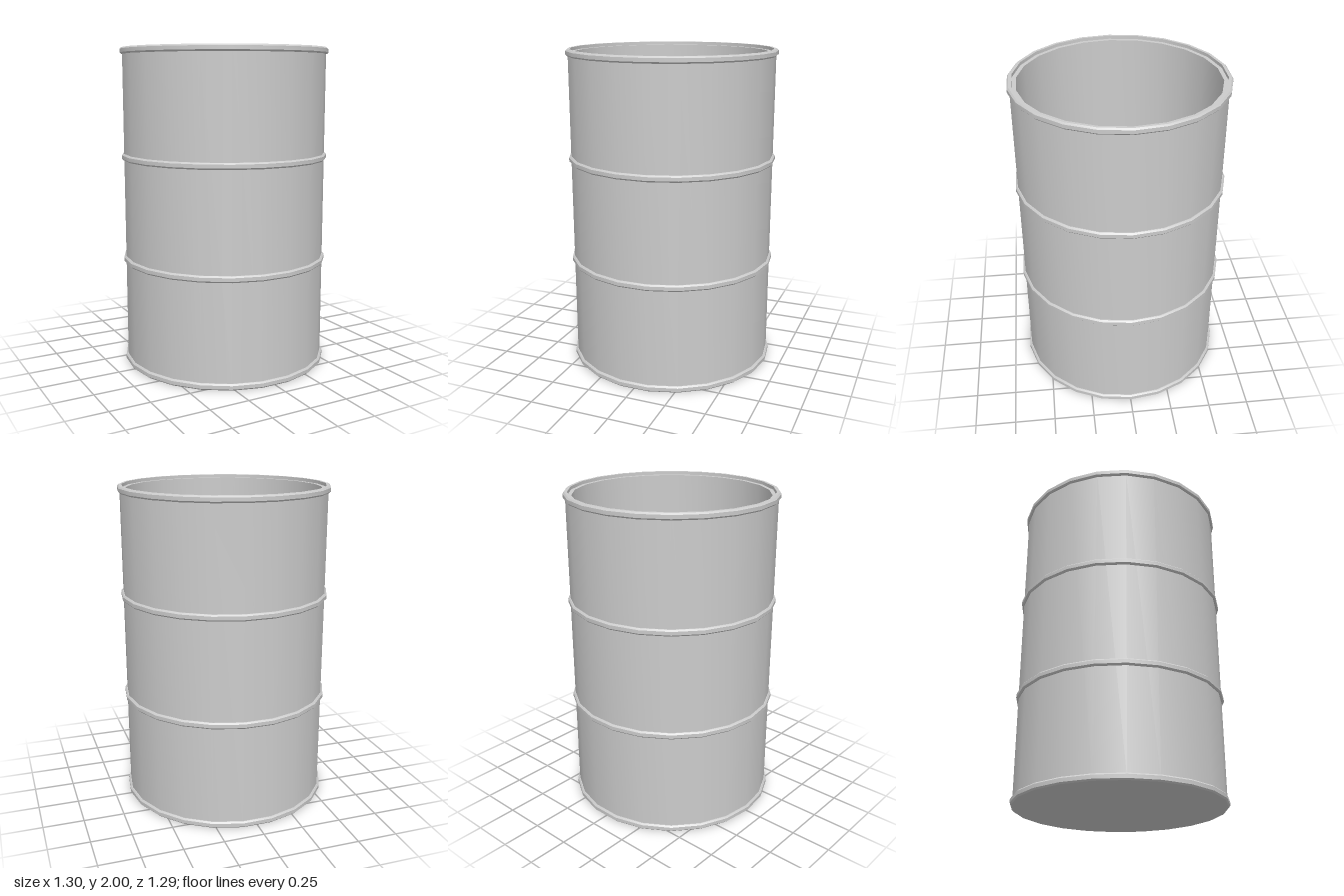
import * as THREE from 'three';
import { toCreasedNormals } from 'three/addons/utils/BufferGeometryUtils.js';

const SIDES = 22;
const material = new THREE.MeshStandardMaterial({ color: 0xcccccc });

// Revolve a profile of [radius, height] pairs, smooth around and sharp at its corners
function revolve(name, profile) {
  const points = profile.map(([r, y]) => new THREE.Vector2(r, y));
  const lathe = new THREE.LatheGeometry(points, SIDES, Math.PI / 2);
  const mesh = new THREE.Mesh(toCreasedNormals(lathe, 0.6), material);
  mesh.name = name;
  return mesh;
}

export function createModel() {
  const barrel = new THREE.Group();
  barrel.name = 'openBarrel';

  // Thick-walled body, open at the top, with a floor inside
  barrel.add(revolve('body', [
    [0, 0], [0.638, 0], [0.638, 1.98], [0.6, 1.98], [0.6, 0.04], [0, 0.04],
  ]));

  // Four evenly spaced hoops with chamfered outer edges
  const hoop = [
    [0.625, -0.02], [0.643, -0.02], [0.652, -0.011], [0.652, 0.011],
    [0.643, 0.02], [0.625, 0.02], [0.625, -0.02],
  ];
  const names = ['bottomHoop', 'lowerHoop', 'upperHoop', 'topHoop'];
  names.forEach((name, i) => {
    const mesh = revolve(name, hoop);
    mesh.position.y = 0.02 + (i * 1.96) / 3;
    barrel.add(mesh);
  });

  return barrel;
}
